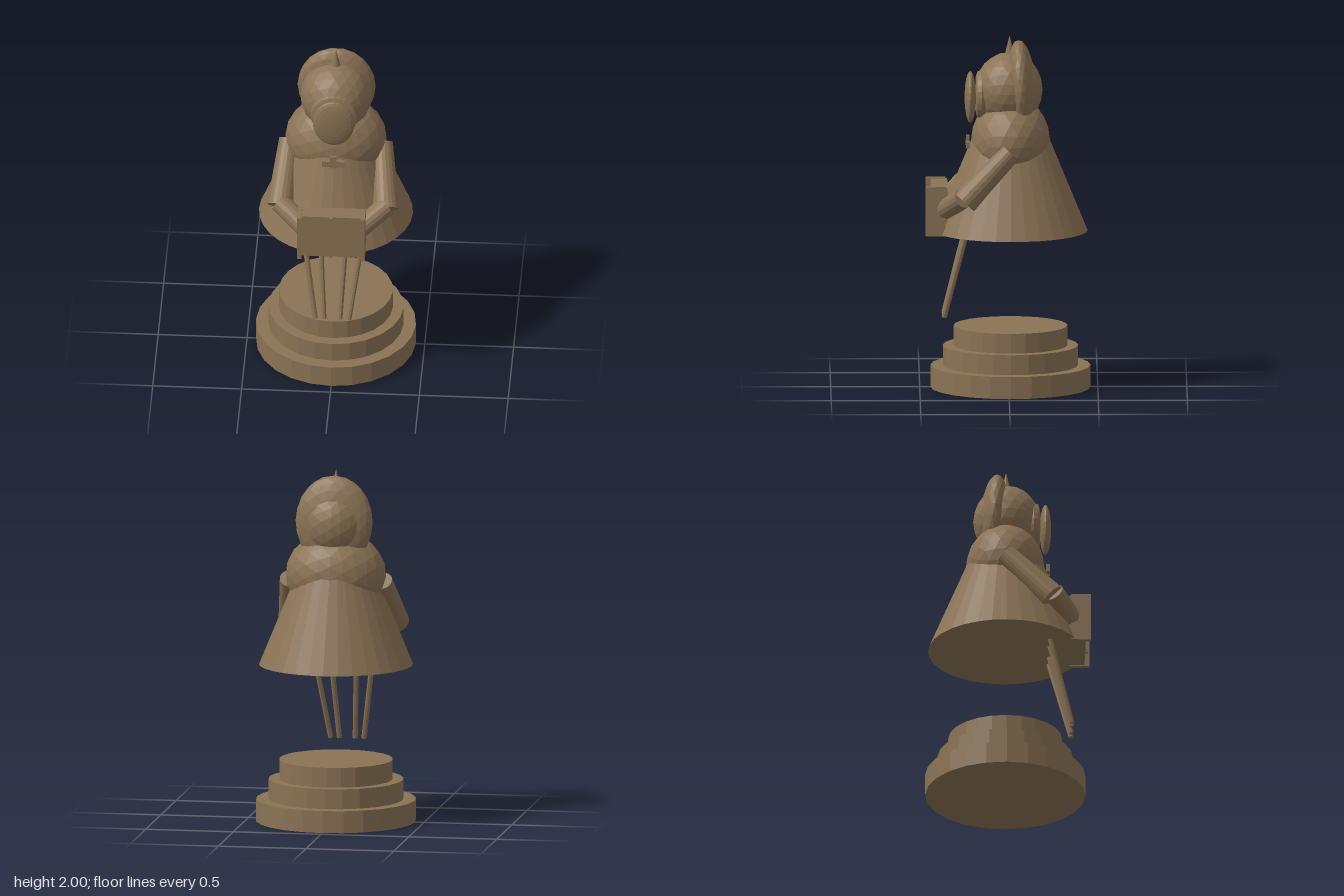
import * as THREE from 'three';

const clay = new THREE.MeshStandardMaterial({ color: 0x8b7355, flatShading: true });
clay.name = 'brown clay';

export function createModel() {
  const model = new THREE.Group();
  model.name = 'robedFigure';

  const add = (name, geometry, x = 0, y = 0, z = 0) => {
    const mesh = new THREE.Mesh(geometry, clay);
    mesh.name = name;
    mesh.position.set(x, y, z);
    model.add(mesh);
    return mesh;
  };
  const box = (name, w, h, d, x, y, z) => add(name, new THREE.BoxGeometry(w, h, d), x, y, z);
  const blob = (name, rx, ry, rz, x, y, z) =>
    add(name, new THREE.IcosahedronGeometry(1, 3).scale(rx, ry, rz), x, y, z);
  // Tapered rod between two points
  const rod = (name, from, to, rFrom, rTo, sides) => {
    const a = new THREE.Vector3(...from), b = new THREE.Vector3(...to);
    const dir = b.clone().sub(a);
    const mesh = add(name, new THREE.CylinderGeometry(rTo, rFrom, dir.length(), sides));
    mesh.position.copy(a).add(b).multiplyScalar(0.5);
    mesh.quaternion.setFromUnitVectors(new THREE.Vector3(0, 1, 0), dir.normalize());
    return mesh;
  };

  // Stepped round base
  [[0.45, 0, 0.125], [0.38, 0.125, 0.238], [0.32, 0.238, 0.35]].forEach(([r, y0, y1], i) =>
    add('baseStep' + (i + 1), new THREE.CylinderGeometry(r, r, y1 - y0, 24), 0, (y0 + y1) / 2, -0.01));

  // Robe and shoulders
  add('robe', new THREE.CylinderGeometry(0.14, 0.433, 0.71, 32), 0, 1.245, -0.01);
  blob('shoulders', 0.285, 0.25, 0.222, 0, 1.4, -0.01);

  // Head, hood and the small horn on top
  blob('head', 0.2, 0.21, 0.19, 0, 1.69, 0);
  blob('hood', 0.22, 0.26, 0.082, 0, 1.71, -0.07).rotation.x = 0.06;
  add('horn', new THREE.ConeGeometry(0.034, 0.14, 12), 0, 1.93, -0.005);

  // Face mask with a rim behind it
  add('maskRim', new THREE.TorusGeometry(0.1, 0.035, 8, 24).scale(1, 1.06, 1), 0, 1.66, 0.15);
  add('mask', new THREE.SphereGeometry(1, 24, 12).rotateX(Math.PI / 2).scale(0.117, 0.147, 0.032), 0, 1.647, 0.216);

  // Chest cross
  box('crossUpright', 0.034, 0.075, 0.022, 0, 1.393, 0.23);
  box('crossBar', 0.124, 0.036, 0.022, 0, 1.382, 0.23);

  // Sleeves and forearms
  for (const [side, s] of [['left', 1], ['right', -1]]) {
    rod(side + 'Sleeve', [s * 0.262, 1.37, -0.01], [s * 0.298, 1.095, 0.25], 0.058, 0.074, 20);
    rod(side + 'Forearm', [s * 0.3, 1.12, 0.255], [s * 0.15, 1.03, 0.36], 0.058, 0.058, 16);
  }

  // Open box held in front
  box('tray', 0.36, 0.268, 0.095, 0, 1.024, 0.392);
  for (const s of [1, -1]) box('traySide', 0.024, 0.28, 0.112, s * 0.178, 1.024, 0.411);
  box('trayStrip', 0.016, 0.268, 0.014, 0, 1.024, 0.445);

  // Four thin legs leaning forward
  for (const s of [1, -1]) {
    rod('outerLeg', [s * 0.172, 0.93, 0.23], [s * 0.095, 0.41, 0.363], 0.015, 0.015, 8);
    rod('innerLeg', [s * 0.075, 0.93, 0.23], [s * 0.045, 0.41, 0.363], 0.015, 0.015, 8);
  }

  return model;
}
